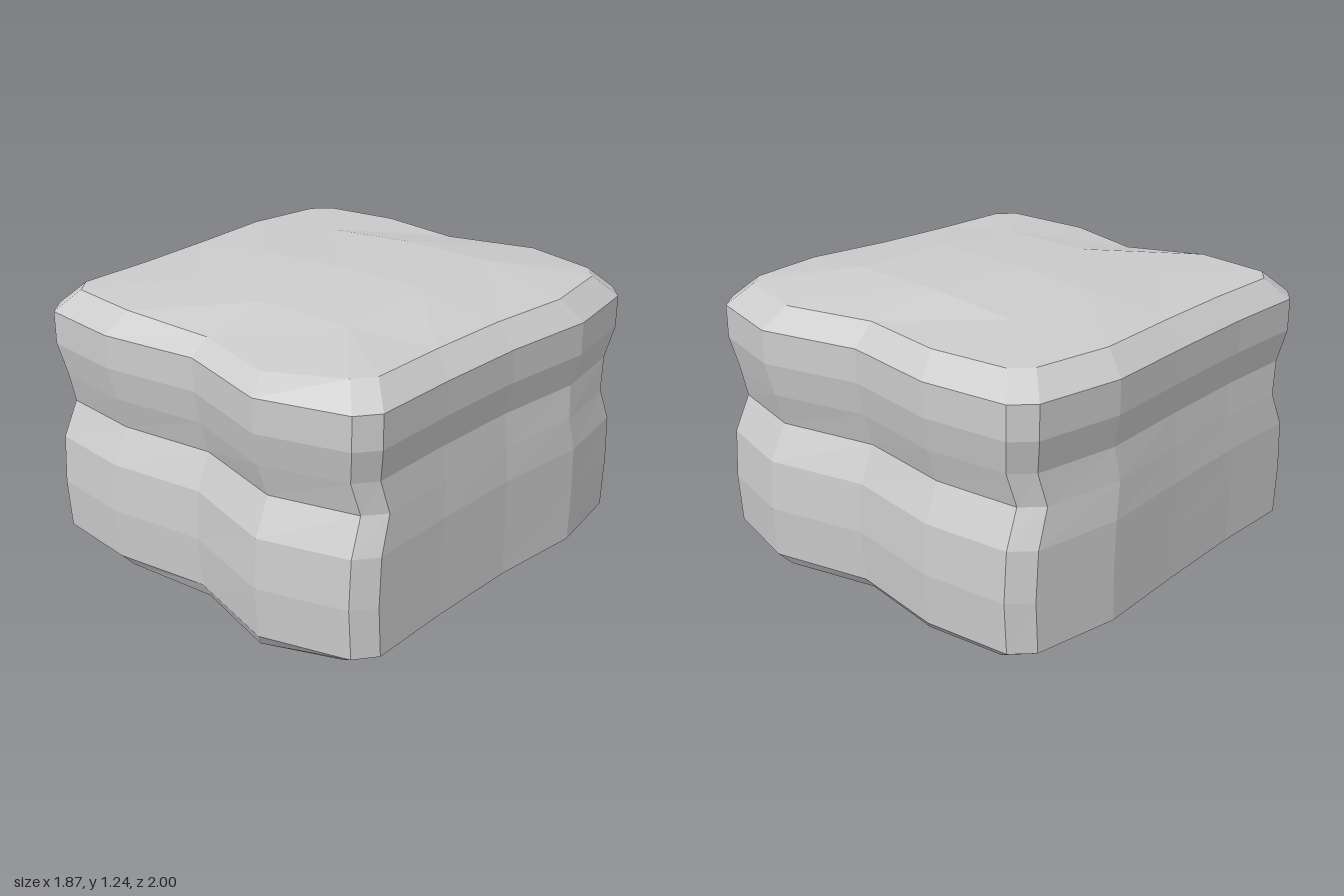
import * as THREE from 'three';

// Plan outline of the block, counter-clockwise seen from above, five [x, z] points per side
const OUTLINE = [
  [-0.80, 0.89], [-0.43, 0.935], [0, 0.875], [0.43, 1.0], [0.80, 0.89],        // front
  [0.87, 0.80], [0.87, 0.42], [0.885, 0], [0.935, -0.43], [0.88, -0.81],       // left
  [0.80, -0.905], [0.43, -1.0], [0, -0.885], [-0.43, -0.945], [-0.80, -0.895], // back
  [-0.88, -0.81], [-0.935, -0.43], [-0.90, 0], [-0.875, 0.42], [-0.87, 0.80],  // right
];

// Wall rows: [y, x scale, z scale]; the waist is pinched
const ROWS = [
  [0.09, 1, 0.985], [0.31, 1, 1], [0.52, 1, 0.985], [0.67, 0.985, 0.91],
  [0.81, 0.967, 0.955], [0.95, 1, 0.985], [1.09, 1, 0.985],
];

// Heights of the uneven caps on a 3 x 3 grid: rows back to front, columns -x to +x
const TOP = [[1.205, 1.235, 1.235], [1.21, 1.235, 1.235], [1.195, 1.205, 1.205]];
const BOTTOM = [[0.04, 0.02, 0.02], [0.04, 0.02, 0.02], [0.03, 0, 0]];

const step = (v) => (Math.abs(v) < 0.2 ? 0 : Math.sign(v));
const scaledRing = (y, sx, sz) => OUTLINE.map(([x, z], i) =>
  [x * sx, typeof y === 'function' ? y(i) : y, z * sz]);

// Inner cap ring: every outline point snaps to its nearest grid node
const capRing = (heights) => OUTLINE.map(([x, z]) => {
  const i = step(x), k = step(z);
  return [i * 0.43, heights[k + 1][i + 1], k * 0.46];
});
const centreRing = (heights) => OUTLINE.map(() => [0, heights[1][1], 0]);

function blockGeometry() {
  const rimTop = (i) => (i === 2 || i === 3 ? 1.15 : 1.18);
  const rimBottom = (i) => (i === 2 || i === 3 ? 0.02 : 0.04);
  const rings = [
    centreRing(BOTTOM),
    capRing(BOTTOM),
    scaledRing(rimBottom, 0.92, 0.94),
    ...ROWS.map((r) => scaledRing(...r)),
    scaledRing(rimTop, 0.9, 0.888),
    capRing(TOP),
    centreRing(TOP),
  ];
  const positions = [];
  const same = (p, q) => p.every((v, i) => Math.abs(v - q[i]) < 1e-6);
  const tri = (a, b, c) => {
    if (!same(a, b) && !same(b, c) && !same(a, c)) positions.push(...a, ...b, ...c);
  };
  // Join consecutive rings, skipping collapsed triangles
  for (let r = 0; r < rings.length - 1; r++) {
    const lo = rings[r], hi = rings[r + 1];
    for (let i = 0; i < lo.length; i++) {
      const j = (i + 1) % lo.length;
      tri(lo[i], lo[j], hi[j]);
      tri(lo[i], hi[j], hi[i]);
    }
  }
  const geometry = new THREE.BufferGeometry();
  geometry.setAttribute('position', new THREE.Float32BufferAttribute(positions, 3));
  geometry.computeVertexNormals();
  return geometry;
}

export function createModel() {
  const group = new THREE.Group();
  const material = new THREE.MeshStandardMaterial({ color: 0xcccccc, flatShading: true });
  const block = new THREE.Mesh(blockGeometry(), material);
  block.name = 'stoneBlock';
  group.add(block);
  return group;
}
